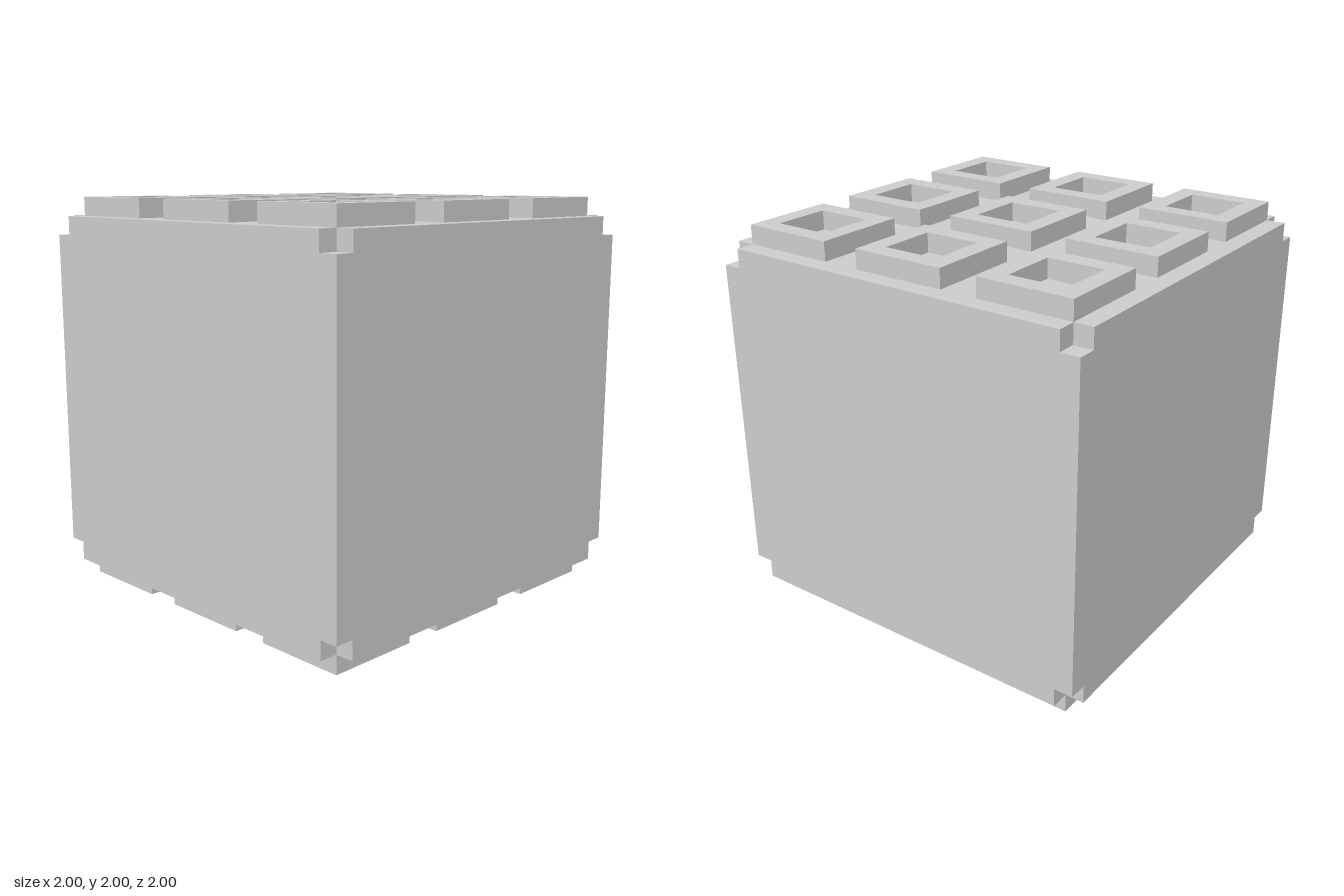
import * as THREE from 'three';
import { mergeGeometries } from 'three/addons/utils/BufferGeometryUtils.js';

const U = 2 / 21; // grid unit: the cube is 21 units wide
const W = 10.5, H = 9.5, PITCH = 7, STUD = 2.5, PIT = 1.5;

// Rectangle outline with a one-unit square cut from each corner
function notchedPanel(w, h) {
  const s = new THREE.Shape();
  [[-w + 1, -h], [w - 1, -h], [w - 1, -h + 1], [w, -h + 1], [w, h - 1], [w - 1, h - 1],
    [w - 1, h], [-w + 1, h], [-w + 1, h - 1], [-w, h - 1], [-w, -h + 1], [-w + 1, -h + 1]]
    .forEach(([x, y], i) => (i ? s.lineTo(x, y) : s.moveTo(x, y)));
  s.closePath();
  return s;
}

// Call fn at every stud centre of the 3 x 3 grid
function eachStud(fn) {
  for (const x of [-PITCH, 0, PITCH]) for (const z of [-PITCH, 0, PITCH]) fn(x, z);
}

export function createModel() {
  const model = new THREE.Group();
  const material = new THREE.MeshStandardMaterial({ color: 0xcccccc, flatShading: true });
  const add = (name, geometry, parent) => {
    const mesh = new THREE.Mesh(geometry, material);
    mesh.name = name;
    parent.add(mesh);
    return mesh;
  };

  // Cube body, centred on the origin of the group
  const body = new THREE.Group();
  body.name = 'body';
  model.add(body);

  // Four side panels
  const side = new THREE.ShapeGeometry(notchedPanel(W, H)).translate(0, 0, W);
  ['frontPanel', 'leftPanel', 'backPanel', 'rightPanel'].forEach((name, i) => {
    add(name, side, body).rotation.y = i * Math.PI / 2;
  });

  // Top and bottom panels, open where the studs stand
  const plate = notchedPanel(W, W);
  eachStud((x, z) => {
    const hole = new THREE.Path();
    hole.moveTo(x - STUD, z - STUD).lineTo(x - STUD, z + STUD)
      .lineTo(x + STUD, z + STUD).lineTo(x + STUD, z - STUD).closePath();
    plate.holes.push(hole);
  });
  const cap = new THREE.ShapeGeometry(plate).rotateX(-Math.PI / 2).translate(0, H, 0);

  // Square stud with a square pit: a four-sided turned profile
  const r = Math.SQRT2;
  const profile = [[STUD, 0], [STUD, 1], [PIT, 1], [PIT, 0], [0, 0]]
    .map(([x, y]) => new THREE.Vector2(x * r, y));
  const stud = new THREE.LatheGeometry(profile, 4, Math.PI / 4).toNonIndexed();
  stud.computeVertexNormals();

  for (const end of ['top', 'bottom']) {
    const group = new THREE.Group();
    group.name = end;
    if (end === 'bottom') group.rotation.x = Math.PI;
    add(end + 'Panel', cap, group);
    eachStud((x, z) => add(end + 'Stud', stud, group).position.set(x, H, z));
    body.add(group);
  }

  // Inner walls of the eight corner notches
  for (const sx of [-1, 1]) for (const sy of [-1, 1]) for (const sz of [-1, 1]) {
    const quad = () => new THREE.PlaneGeometry(1, 1);
    const walls = [
      quad().rotateY(sx * Math.PI / 2).translate(sx * (W - 1), sy * (H - 0.5), sz * (W - 0.5)),
      quad().rotateX(-sy * Math.PI / 2).translate(sx * (W - 0.5), sy * (H - 1), sz * (W - 0.5)),
      quad().rotateY(sz > 0 ? 0 : Math.PI).translate(sx * (W - 0.5), sy * (H - 0.5), sz * (W - 1)),
    ];
    add('cornerNotch', mergeGeometries(walls), body);
  }

  body.scale.setScalar(U);
  body.position.y = 1;
  return model;
}
